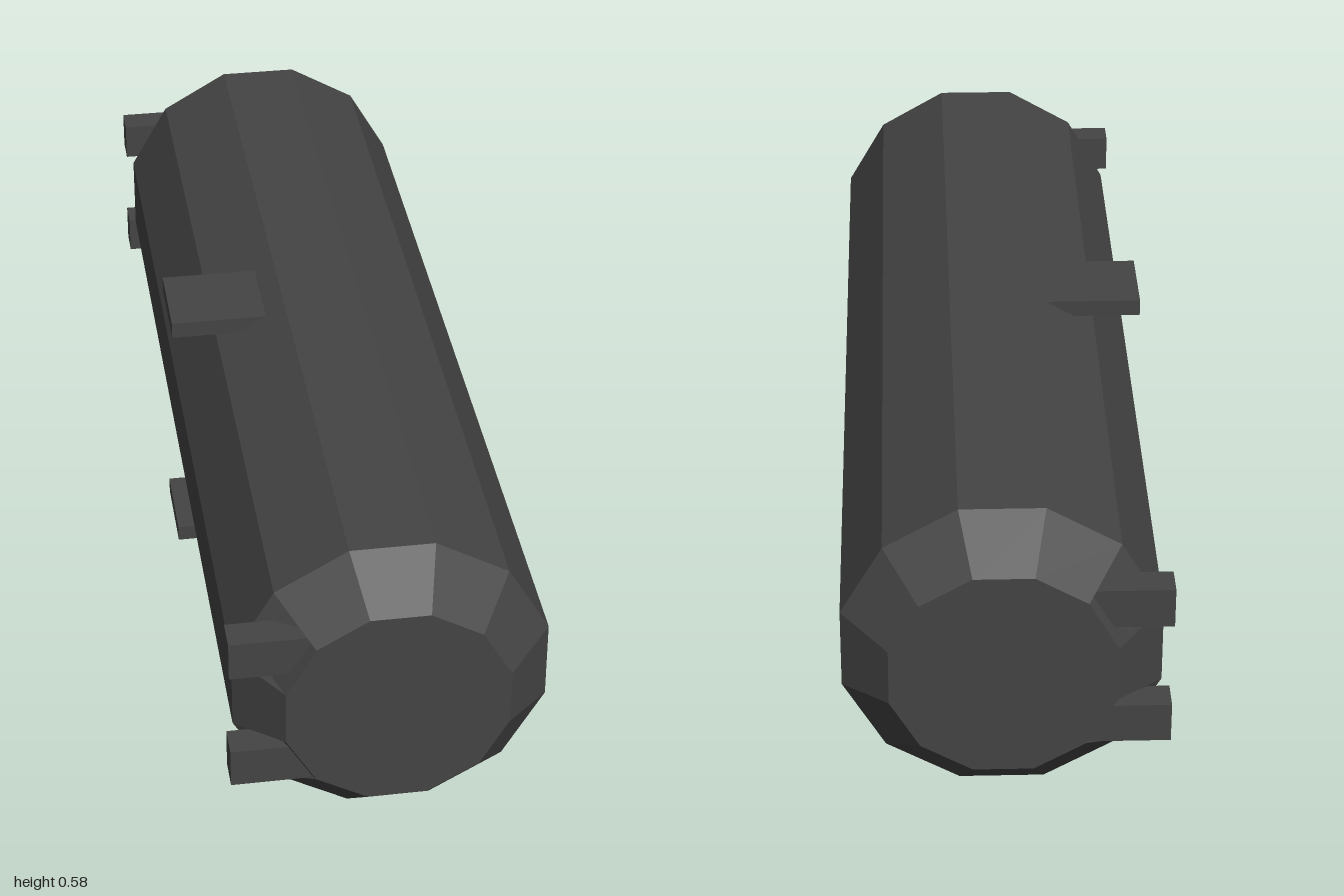
import * as THREE from 'three';

const SIDES = 12, CX = 0.005, CY = 0.292;
// rings as [radius, z] for the front end
const RIM = [0.302, 0.905], CAP = [0.213, 1], POCKET = [0.232, 0.955];

function bodyGeometry() {
  const pos = [];
  const at = ([r, z], k, s) => {
    const a = (k + 0.5) * Math.PI * 2 / SIDES;
    return [CX + r * Math.cos(a), CY + r * Math.sin(a), z * s];
  };
  // fan of corners, reversed for the mirrored back end
  const face = (s, ...p) => {
    if (s < 0) p.reverse();
    for (let i = 1; i < p.length - 1; i++) pos.push(...p[0], ...p[i], ...p[i + 1]);
  };
  for (let k = 0; k < SIDES; k++) {
    const n = k + 1;
    // long side panel
    face(1, at(RIM, k, 1), at(RIM, k, -1), at(RIM, n, -1), at(RIM, n, 1));
    for (const s of [1, -1]) {
      // flat end
      face(s, [CX, CY, s], at(CAP, k, s), at(CAP, n, s));
      const [oa, ob, ia, ib] = [at(RIM, k, s), at(RIM, n, s), at(CAP, k, s), at(CAP, n, s)];
      if (k === 4 || k === 6) {
        // bevel panel sunk into a shallow pocket around a lug
        const fa = at(POCKET, k, s), fb = at(POCKET, n, s);
        face(s, oa, ob, fb, fa);
        face(s, fa, fb, ib, ia);
        face(s, oa, fa, ia);
        face(s, ob, ib, fb);
      } else {
        face(s, oa, ob, ib, ia);
      }
    }
  }
  const g = new THREE.BufferGeometry();
  g.setAttribute('position', new THREE.Float32BufferAttribute(pos, 3));
  g.computeVertexNormals();
  return g;
}

export function createModel() {
  const group = new THREE.Group();
  const mat = new THREE.MeshStandardMaterial({ color: 0x444444, flatShading: true });

  const body = new THREE.Mesh(bodyGeometry(), mat);
  body.name = 'tankBody';
  group.add(body);

  // box from the mounting plane x = -0.3 into the body
  const bracket = (name, y0, y1, z0, z1) => {
    const m = new THREE.Mesh(new THREE.BoxGeometry(0.2, y1 - y0, z1 - z0), mat);
    m.position.set(-0.2, (y0 + y1) / 2, (z0 + z1) / 2);
    m.name = name;
    group.add(m);
  };
  // end lugs
  for (const [y0, y1] of [[0.13, 0.208], [0.379, 0.456]]) {
    bracket('frontLug', y0, y1, 0.92, 0.98);
    bracket('backLug', y0, y1, -0.98, -0.92);
  }
  // flat plates at the middle
  bracket('upperMountPlate', 0.529, 0.562, -0.088, 0.088);
  bracket('lowerMountPlate', 0.025, 0.057, -0.088, 0.088);
  return group;
}
